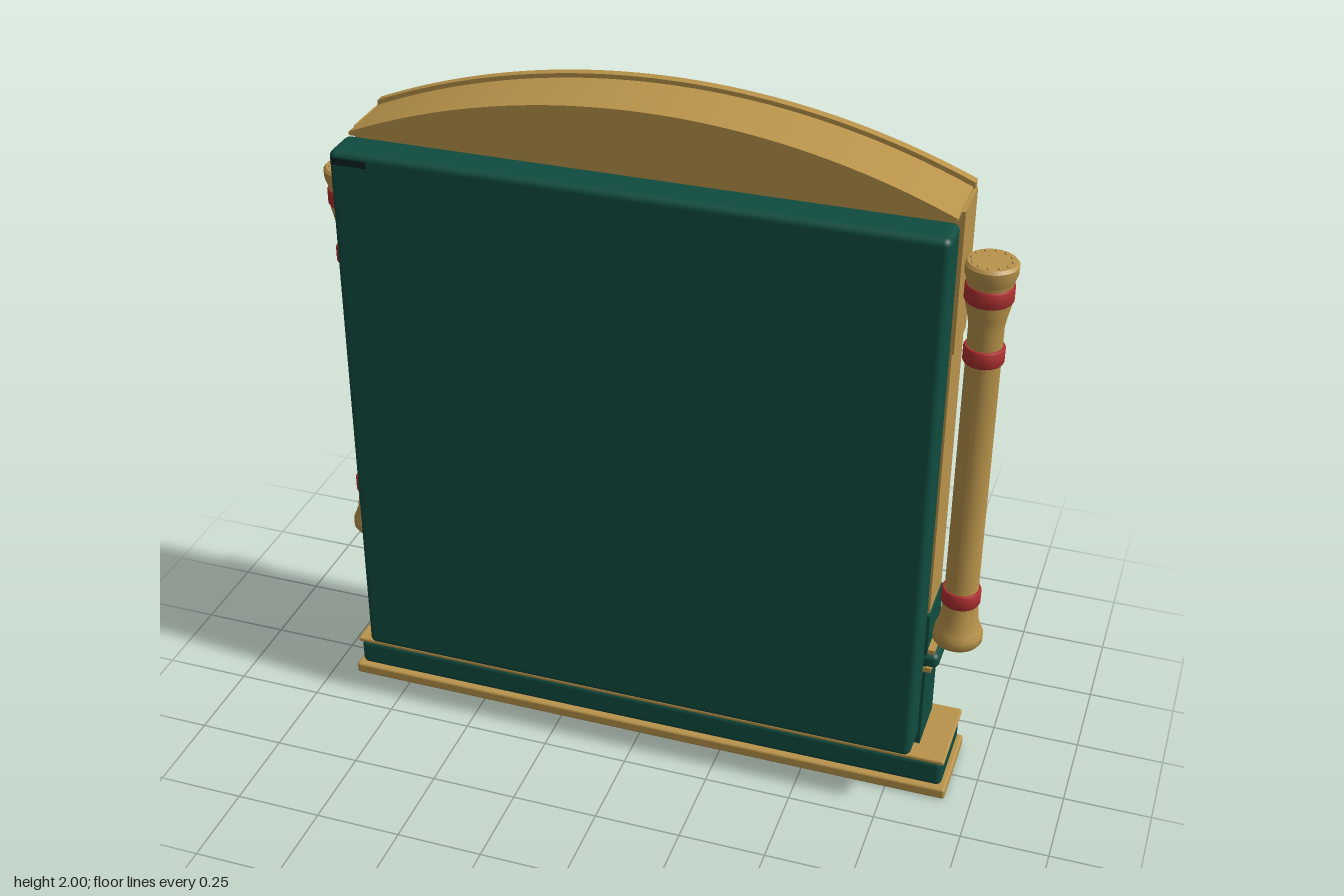
import * as THREE from 'three';
import { RoundedBoxGeometry } from 'three/addons/geometries/RoundedBoxGeometry.js';
import { toCreasedNormals } from 'three/addons/utils/BufferGeometryUtils.js';

const mat = (name, color) => {
  const m = new THREE.MeshStandardMaterial({ color });
  m.name = name;
  return m;
};

export function createModel() {
  const root = new THREE.Group();
  const gold = mat('gold', 0xb8934a), green = mat('green', 0x104c40), red = mat('red', 0xb03030);
  const purple = mat('purple', 0x4b2070), dark = mat('darkGlass', 0x0d2124), bronze = mat('bronze', 0x7d6632);

  const add = (name, geo, m, x = 0, y = 0, z = 0, parent = root) => {
    const mesh = new THREE.Mesh(geo, m);
    mesh.name = name;
    mesh.position.set(x, y, z);
    parent.add(mesh);
    return mesh;
  };
  // Box given by its limits, with optional rounded edges
  const box = (name, m, x0, x1, y0, y1, z0, z1, r = 0) => {
    const s = [x1 - x0, y1 - y0, z1 - z0];
    const geo = r ? new RoundedBoxGeometry(...s, 3, r) : new THREE.BoxGeometry(...s);
    return add(name, geo, m, (x0 + x1) / 2, (y0 + y1) / 2, (z0 + z1) / 2);
  };
  const rect = (w, h, T = THREE.Shape) => {
    const s = new T();
    s.moveTo(-w / 2, -h / 2).lineTo(w / 2, -h / 2).lineTo(w / 2, h / 2).lineTo(-w / 2, h / 2).closePath();
    return s;
  };
  // Rectangular border of width t, from z0 to z0 + depth
  const border = (name, x, y, w, h, t, z0, depth) => {
    const s = rect(w, h);
    s.holes.push(rect(w - 2 * t, h - 2 * t, THREE.Path));
    return add(name, new THREE.ExtrudeGeometry(s, { depth, bevelEnabled: false }), gold, x, y, z0);
  };
  const rivetGeo = new THREE.SphereGeometry(0.008, 8, 6);
  const lathe = (pts, seg = 28) =>
    toCreasedNormals(new THREE.LatheGeometry(pts.map(p => new THREE.Vector2(...p)), seg), 0.6);

  // Plinth
  box('plinthFoot', gold, -0.925, 0.925, 0, 0.035, -0.147, 0.117, 0.008);
  box('plinth', green, -0.91, 0.91, 0.033, 0.12, -0.138, 0.105, 0.018);
  box('plinthTrim', gold, -0.915, 0.915, 0.117, 0.132, -0.145, 0.11, 0.006);

  // Lower body and ledge
  box('lowerBody', green, -0.83, 0.83, 0.13, 0.585, -0.12, 0.05);
  box('ledgeLowerTrim', gold, -0.845, 0.845, 0.395, 0.41, -0.15, 0.055);
  box('ledge', green, -0.865, 0.865, 0.408, 0.455, -0.157, 0.055, 0.018);
  box('ledgeUpperTrim', gold, -0.85, 0.85, 0.453, 0.466, -0.165, 0.045);
  for (let i = 0; i < 18; i++) add('ledgeRivet', rivetGeo, gold, -0.765 + i * 0.09, 0.505, -0.122);

  // Upper body around the recessed screen
  for (const s of [-1, 1])
    box('sidePost', gold, Math.min(s * 0.69, s * 0.825), Math.max(s * 0.69, s * 0.825), 0.585, 1.42, -0.12, 0.035);
  box('headBoard', gold, -0.83, 0.83, 1.41, 1.815, -0.12, 0.035);
  box('backing', gold, -0.69, 0.69, 0.585, 1.41, 0.025, 0.035);
  box('screen', dark, -0.69, 0.69, 0.585, 1.41, 0.018, 0.025);
  border('screenFrame', 0, 1.005, 1.47, 0.9, 0.045, -0.146, 0.028);

  // Riveted strips with gems
  for (const s of [-1, 1]) {
    box('rivetStrip', gold, s * 0.78 - 0.036, s * 0.78 + 0.036, 0.57, 1.45, -0.13, -0.118);
    for (let i = 0; i < 12; i++) {
      const gem = i === 3 || i === 6 || i === 9;
      const m = add(gem ? 'gem' : 'rivet', rivetGeo, gem ? purple : gold, s * 0.78, 0.56 + i * 0.0735, -0.132);
      if (gem) m.scale.set(3, 1.8, 1.6);
    }
  }

  // Name panels
  const panel = (x, y, w, h, m) => {
    box('panel', m, x - w / 2, x + w / 2, y - h / 2, y + h / 2, -0.128, -0.119);
    border('panelFrame', x, y, w, h, 0.012, -0.138, 0.02);
  };
  panel(0.545, 1.675, 0.31, 0.11, dark);
  panel(0.185, 1.675, 0.31, 0.11, dark);
  panel(-0.165, 1.675, 0.31, 0.11, bronze);
  panel(-0.525, 1.675, 0.31, 0.11, bronze);
  panel(0.01, 1.54, 0.66, 0.125, dark);

  // Arched pediment with a proud rim
  const arch = (top, half, rise) => Array.from({ length: 41 }, (_, i) => {
    const t = i / 20 - 1, R = (half * half + rise * rise) / (2 * rise);
    return new THREE.Vector2(t * half, top - R + Math.sqrt(R * R - t * t * half * half));
  });
  const extrudeArch = (name, pts, z0, z1) => add(name, toCreasedNormals(
    new THREE.ExtrudeGeometry(new THREE.Shape(pts), { depth: z1 - z0, bevelEnabled: false }), 0.4), gold, 0, 0, z0);
  extrudeArch('pediment', [...arch(1.988, 0.82, 0.168), new THREE.Vector2(0.82, 1.81), new THREE.Vector2(-0.82, 1.81)].reverse(), -0.12, 0.088);
  extrudeArch('pedimentRim', [...arch(2, 0.825, 0.168), ...arch(1.978, 0.825, 0.168).reverse()].reverse(), -0.132, -0.105);

  // Medallion
  const disc = add('medallion', new THREE.CylinderGeometry(0.06, 0.06, 0.02, 28), gold, 0, 1.83, -0.128);
  disc.rotation.x = Math.PI / 2;
  add('medallionRing', new THREE.TorusGeometry(0.06, 0.013, 10, 32), gold, 0, 1.83, -0.141);

  // Bells on brackets
  const bellGeo = lathe([[0, 0.085], [0.012, 0.083], [0.016, 0.06], [0.022, 0.03], [0.03, 0.012], [0.041, 0], [0.036, 0], [0, 0.03]], 20);
  for (const x of [-0.525, 0.525]) {
    add('bell', bellGeo, gold, x, 1.772, -0.166);
    add('clapper', new THREE.SphereGeometry(0.01, 10, 8), gold, x, 1.772, -0.166);
    const arm = add('bellBracket', new THREE.CylinderGeometry(0.008, 0.008, 0.06, 10), gold, x, 1.855, -0.145);
    arm.rotation.x = Math.PI / 2;
    const rose = add('bellRose', new THREE.CylinderGeometry(0.03, 0.03, 0.014, 16), gold, x, 1.84, -0.126);
    rose.rotation.x = Math.PI / 2;
  }

  // Columns with red bands
  const columnGeo = lathe([[0, 0.46], [0.066, 0.46], [0.071, 0.468], [0.071, 0.49], [0.064, 0.505], [0.055, 0.53], [0.05, 0.58],
    [0.047, 0.6], [0.047, 1.47], [0.052, 1.5], [0.06, 1.535], [0.06, 1.595], [0.063, 1.605], [0.07, 1.625], [0.071, 1.648], [0.064, 1.656], [0, 1.656]]);
  const bandGeo = r => lathe([[r - 0.015, -0.024], [r - 0.003, -0.024], [r, -0.019], [r, 0.019], [r - 0.003, 0.024], [r - 0.015, 0.024]]);
  for (const s of [-1, 1]) {
    const column = new THREE.Group();
    column.name = 'column';
    column.position.set(s * 0.895, 0, -0.043);
    root.add(column);
    add('shaft', columnGeo, gold, 0, 0, 0, column);
    for (const [y, r] of [[0.616, 0.055], [1.388, 0.055], [1.568, 0.065]]) add('band', bandGeo(r), red, 0, y, 0, column);
    for (let i = 0; i < 12; i++) {
      const a = i * Math.PI / 6;
      add('capRivet', new THREE.SphereGeometry(0.005, 6, 4), gold, 0.053 * Math.cos(a), 1.656, 0.053 * Math.sin(a), column);
    }
  }

  // Spoked wheels
  const wheelXs = [-0.63, -0.27, 0.27, 0.64];
  for (const x of wheelXs) {
    const wheel = new THREE.Group();
    wheel.name = 'wheel';
    wheel.position.set(x, 0.235, -0.136);
    root.add(wheel);
    add('rim', new THREE.TorusGeometry(0.09, 0.012, 8, 36), gold, 0, 0, 0, wheel);
    for (let i = 0; i < 4; i++) {
      const spoke = add('spoke', new THREE.BoxGeometry(0.17, 0.009, 0.012), gold, 0, 0, 0, wheel);
      spoke.rotation.z = i * Math.PI / 4;
    }
    const hub = add('hub', new THREE.CylinderGeometry(0.026, 0.026, 0.024, 16), x > 0.5 || x < -0.5 ? purple : red, 0, 0, -0.002, wheel);
    hub.rotation.x = Math.PI / 2;
    const cap = add('hubCap', new THREE.SphereGeometry(0.011, 10, 8), gold, 0, 0, -0.015, wheel);
    cap.scale.z = 0.7;
  }

  // Coupling rods, links and centre gem
  const rod = (x0, x1) => box('couplingRod', gold, x0, x1, 0.228, 0.242, -0.152, -0.14, 0.004);
  for (const s of [-1, 1]) {
    rod(s * 0.45 - 0.17, s * 0.45 + 0.17);
    rod(s * 0.19 - 0.07, s * 0.19 + 0.07);
    const link = add('link', new THREE.TorusGeometry(0.024, 0.007, 8, 20), gold, s * 0.095, 0.235, -0.14);
    link.scale.x = 1.4;
  }
  add('centreGem', new THREE.SphereGeometry(0.03, 20, 12), purple, 0, 0.235, -0.135).scale.set(2, 0.85, 0.7);

  // Large rear slab with a small dark plate
  box('slab', green, -0.83, 0.83, 0.197, 1.812, 0.082, 0.2, 0.02);
  box('slabPlate', dark, -0.82, -0.72, 1.775, 1.795, 0.196, 0.203);

  return root;
}
